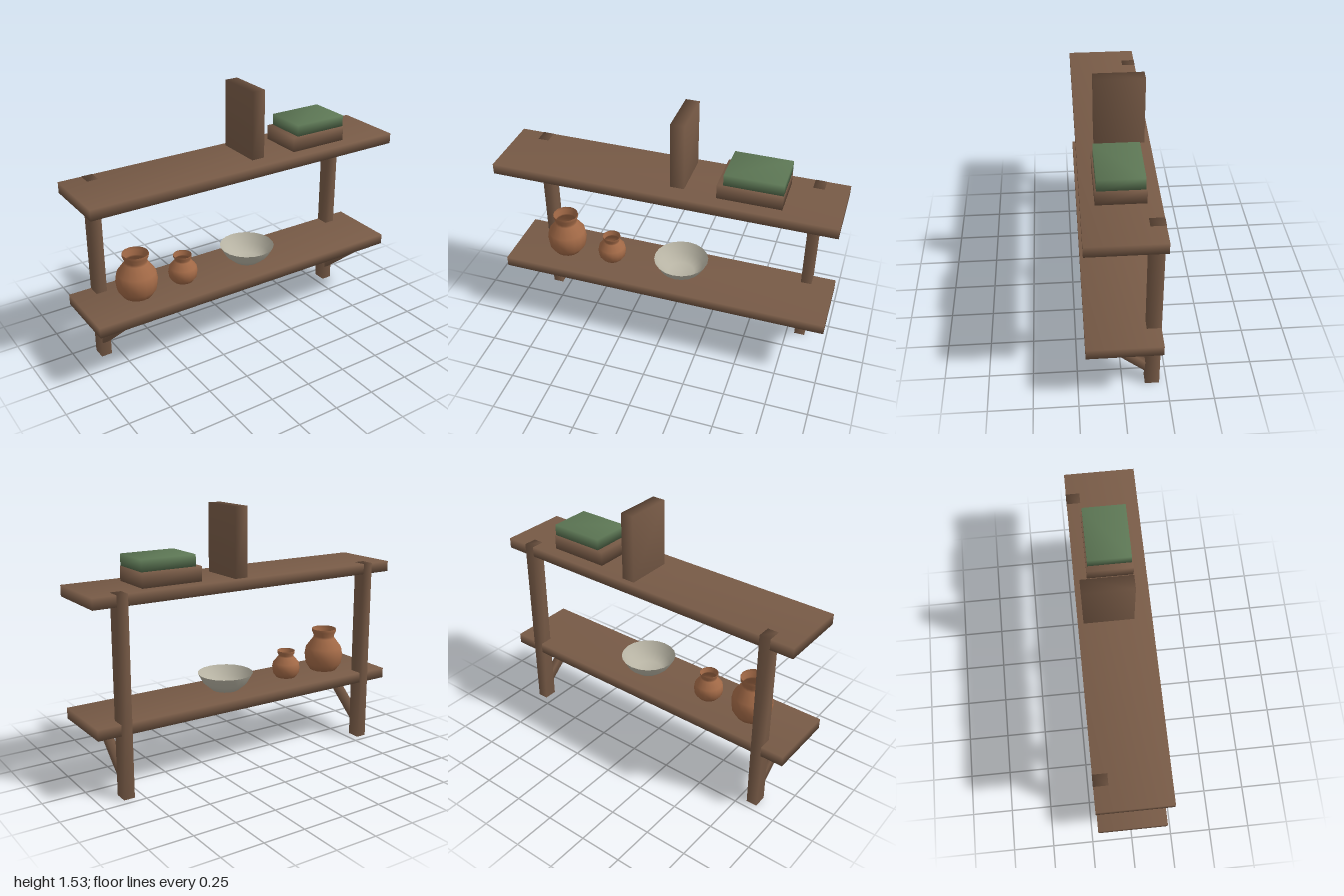
import * as THREE from 'three';
import { mergeVertices } from 'three/addons/utils/BufferGeometryUtils.js';

const material = (name, color, side = THREE.FrontSide) => {
  const m = new THREE.MeshStandardMaterial({ color, side });
  m.name = name;
  return m;
};

// Box with shared corners, so the shading rolls softly over its edges
function softBox(w, h, d) {
  const g = new THREE.BoxGeometry(w, h, d);
  g.deleteAttribute('normal');
  g.deleteAttribute('uv');
  const merged = mergeVertices(g);
  merged.computeVertexNormals();
  return merged;
}

export function createModel() {
  const model = new THREE.Group();
  model.name = 'wallShelf';
  const wood = material('wood', 0x775a46);
  const green = material('greenCover', 0x5c7654);
  const clay = material('terracotta', 0xa36a47, THREE.DoubleSide);
  const glaze = material('paleGlaze', 0xb9b5a5, THREE.DoubleSide);

  const add = (name, geometry, mat) => {
    const mesh = new THREE.Mesh(geometry, mat);
    mesh.name = name;
    model.add(mesh);
    return mesh;
  };
  // Box given by its limits on each axis
  const block = (name, [x0, x1], [y0, y1], [z0, z1], mat = wood) => {
    const mesh = add(name, softBox(x1 - x0, y1 - y0, z1 - z0), mat);
    mesh.position.set((x0 + x1) / 2, (y0 + y1) / 2, (z0 + z1) / 2);
    return mesh;
  };

  // Boards
  block('lowerBoard', [-1, 1], [0.37, 0.433], [-0.207, 0.207]);
  block('upperBoard', [-1, 1], [1.07, 1.133], [-0.207, 0.207]);

  // Posts and slanted braces, mirrored
  for (const [side, s] of [['left', 1], ['right', -1]]) {
    const x = s * 0.833;
    block(side + 'Post', [x - 0.032, x + 0.032], [0, 1.134], [-0.208, -0.127]);
    const top = new THREE.Vector3(x, 0.35, 0.13);
    const foot = new THREE.Vector3(x, 0.09, -0.167);
    const brace = add(side + 'Brace', softBox(0.042, 0.052, top.distanceTo(foot)), wood);
    brace.position.copy(top).add(foot).multiplyScalar(0.5);
    brace.lookAt(top);
  }

  // Books on the upper board
  block('uprightBook', [0.043, 0.123], [1.133, 1.534], [-0.175, 0.107]);
  block('lowerFlatBook', [0.314, 0.68], [1.133, 1.219], [-0.133, 0.133]);
  block('upperFlatBook', [0.348, 0.68], [1.219, 1.286], [-0.125, 0.125], green);

  // Turned vessels on the lower board
  const turned = (name, profile, x, mat, segments) => {
    const points = profile.map(([r, y]) => new THREE.Vector2(r, y));
    add(name, new THREE.LatheGeometry(points, segments), mat).position.set(x, 0.433, 0);
  };
  const jar = [[0, 0.002], [0.085, 0.002], [0.114, 0.045], [0.121, 0.1], [0.113, 0.147],
    [0.068, 0.208], [0.064, 0.222], [0.076, 0.25], [0.076, 0.268]];
  turned('largeJar', jar, -0.67, clay, 16);
  turned('smallJar', jar.map(([r, y]) => [r * 0.715, y * 0.63]), -0.37, clay, 16);
  turned('bowl', [[0, 0.002], [0.082, 0.002], [0.132, 0.045], [0.165, 0.103]], 0.08, glaze, 20);

  return model;
}
